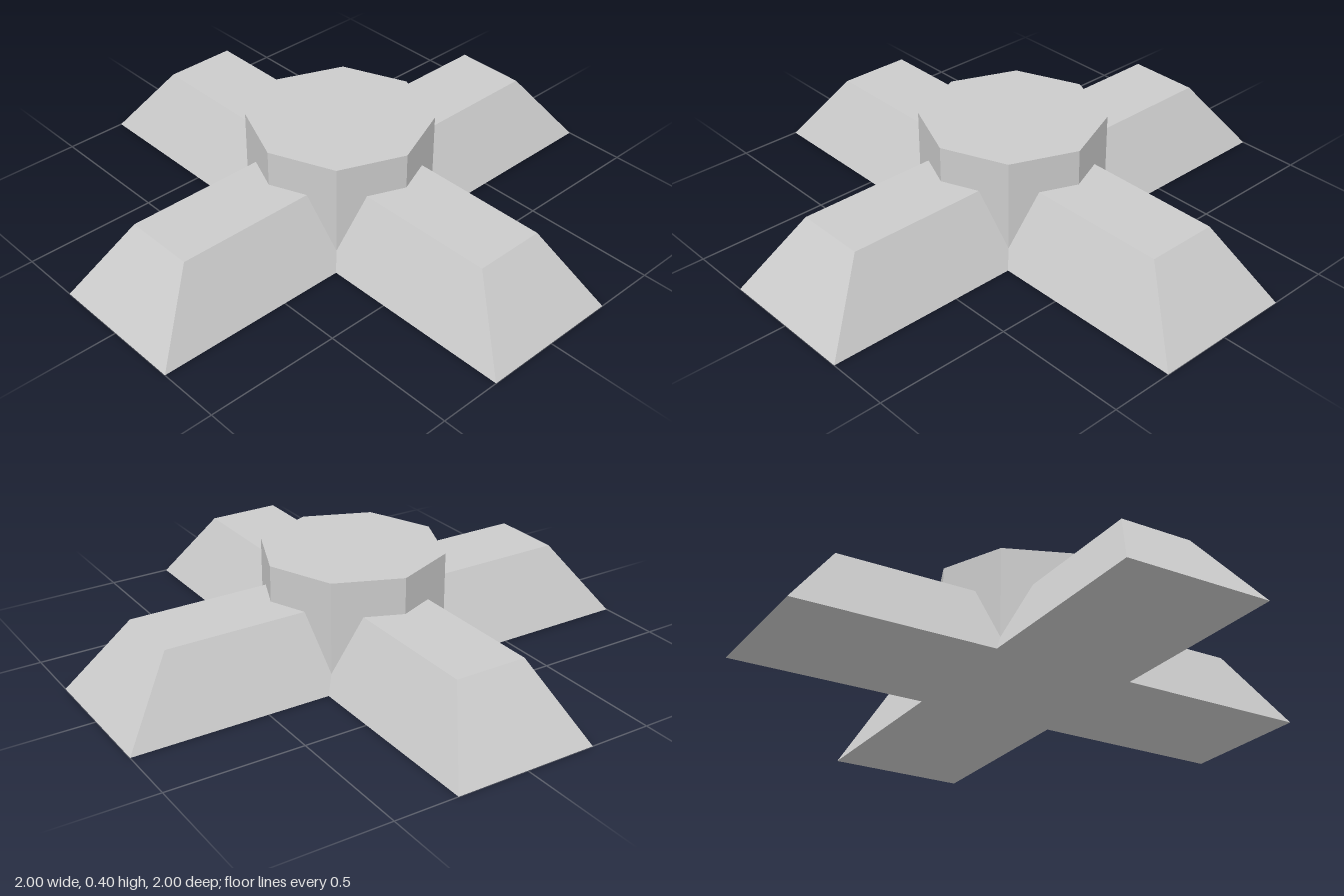
import * as THREE from 'three';

const material = new THREE.MeshStandardMaterial({ color: 0xcccccc, flatShading: true });

// Long bar along x whose sides and ends slope inward to a smaller top
function beamGeometry(height, baseLength, baseWidth, topLength, topWidth) {
  const geometry = new THREE.BoxGeometry(baseLength, height, baseWidth);
  geometry.translate(0, height / 2, 0);
  const p = geometry.attributes.position;
  for (let i = 0; i < p.count; i++) {
    if (p.getY(i) > height / 2) {
      p.setX(i, Math.sign(p.getX(i)) * topLength / 2);
      p.setZ(i, Math.sign(p.getZ(i)) * topWidth / 2);
    }
  }
  geometry.computeVertexNormals();
  return geometry;
}

export function createModel() {
  const model = new THREE.Group();
  model.name = 'crossBase';

  // Two crossing beams form the four feet
  const beam = beamGeometry(0.267, 2, 0.533, 1.6, 0.267);
  ['sideBeam', 'frontBackBeam'].forEach((name, i) => {
    const mesh = new THREE.Mesh(beam, material);
    mesh.name = name;
    mesh.rotation.y = i * Math.PI / 2;
    model.add(mesh);
  });

  // Octagonal hub, one corner pointing along each beam
  const hub = new THREE.Mesh(new THREE.CylinderGeometry(0.333, 0.333, 0.4, 8), material);
  hub.name = 'hub';
  hub.position.y = 0.2;
  model.add(hub);

  return model;
}
